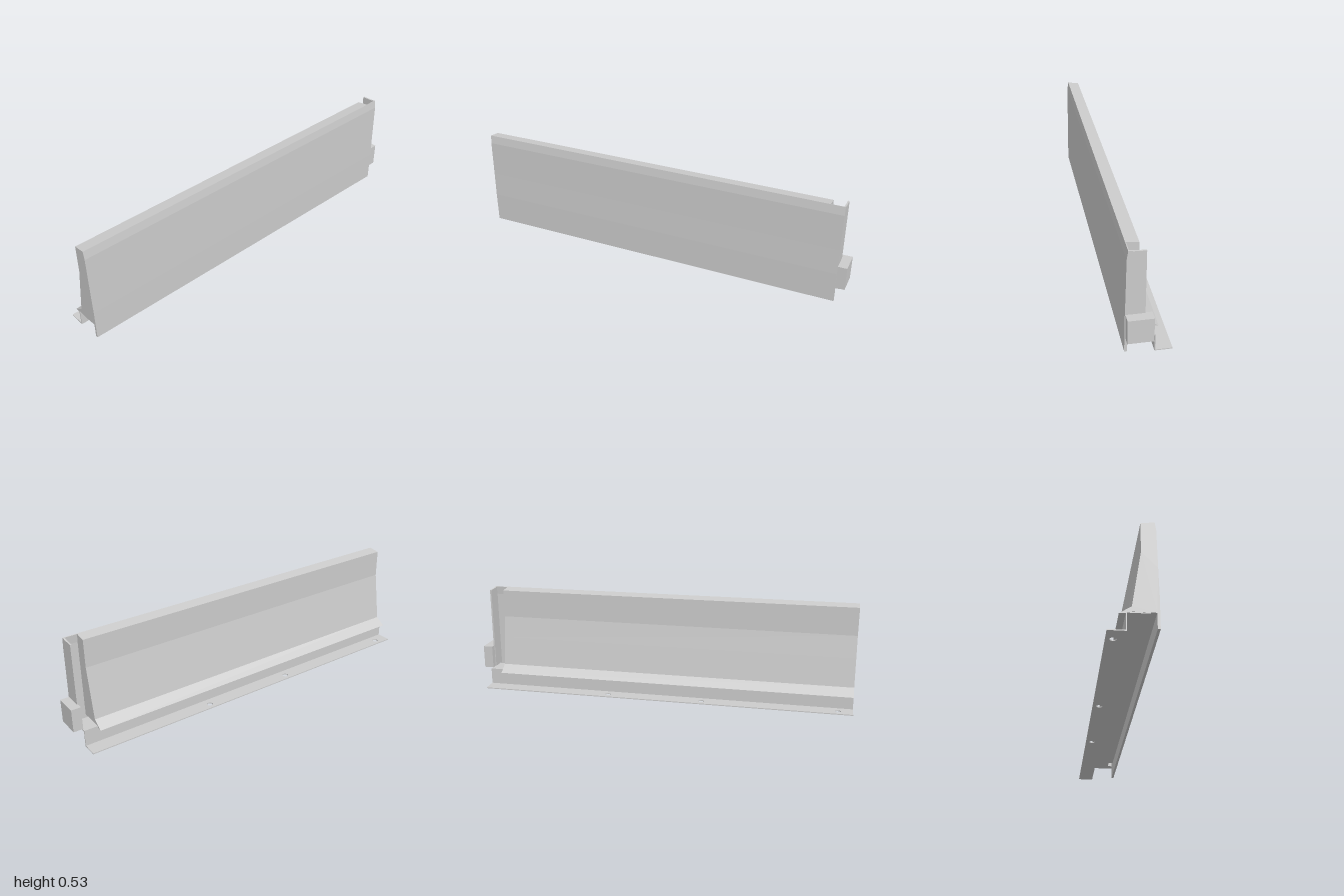
import * as THREE from 'three';

const material = new THREE.MeshStandardMaterial({ color: 0xcccccc, flatShading: true });

// Extrudes an x-y outline along the rail from z0 to z1.
function rail(name, points, z0, z1) {
  const shape = new THREE.Shape(points.map(([x, y]) => new THREE.Vector2(x, y)));
  const geometry = new THREE.ExtrudeGeometry(shape, { depth: z1 - z0, bevelEnabled: false });
  geometry.translate(0, 0, z0);
  const mesh = new THREE.Mesh(geometry, material);
  mesh.name = name;
  return mesh;
}

function box(name, x0, x1, y0, y1, z0, z1) {
  const mesh = new THREE.Mesh(new THREE.BoxGeometry(x1 - x0, y1 - y0, z1 - z0), material);
  mesh.position.set((x0 + x1) / 2, (y0 + y1) / 2, (z0 + z1) / 2);
  mesh.name = name;
  return mesh;
}

export function createModel() {
  const group = new THREE.Group();
  group.name = 'barrierRail';
  const back = -0.955, slot = -0.885, front = 1;

  // Tapered body with a drip lip at the foot of its slope and a hanging outer skirt
  group.add(rail('body', [
    [-0.06, 0.078], [-0.03, 0.08], [-0.027, 0.088], [0.095, 0.088], [0.095, 0.014],
    [0.107, 0.014], [0.107, 0.17], [0.104, 0.3], [0.101, 0.485], [0.095, 0.528],
    [0.034, 0.52], [0.034, 0.375], [0.016, 0.26], [-0.007, 0.113],
  ], slot, front));

  // Outer skin carried past the body to the end plate, leaving an open slot
  group.add(rail('outerSkin', [
    [0.095, 0.014], [0.107, 0.014], [0.107, 0.17], [0.104, 0.3], [0.101, 0.485],
    [0.095, 0.528], [0.091, 0.527], [0.095, 0.485],
  ], back, slot));

  // End plate and the connector block behind it
  group.add(rail('endPlate', [
    [0.017, 0.088], [0.1, 0.088], [0.1, 0.485], [0.095, 0.528], [0.07, 0.524], [0.017, 0.522],
  ], back, back + 0.008));
  group.add(box('connectorBlock', -0.014, 0.103, 0.09, 0.21, -1, back + 0.004));

  // Bracket web and the flange under the body
  group.add(box('bracketWeb', -0.032, -0.027, 0.002, 0.087, back, front));
  group.add(box('bracketFlange', -0.032, 0.07, 0.083, 0.089, back, front - 0.001));

  // Bracket foot with bolt holes
  const foot = new THREE.Shape([
    [-0.108, -front], [-0.027, -front], [-0.027, -back], [-0.108, -back],
  ].map(([x, y]) => new THREE.Vector2(x, y)));
  for (const z of [-0.275, 0.228, 0.925]) {
    foot.holes.push(new THREE.Path().absarc(-0.075, -z, 0.015, 0, Math.PI * 2, true));
  }
  const footGeometry = new THREE.ExtrudeGeometry(foot, { depth: 0.005, bevelEnabled: false, curveSegments: 16 });
  footGeometry.rotateX(-Math.PI / 2);
  const footMesh = new THREE.Mesh(footGeometry, material);
  footMesh.name = 'bracketFoot';
  group.add(footMesh);

  return group;
}
